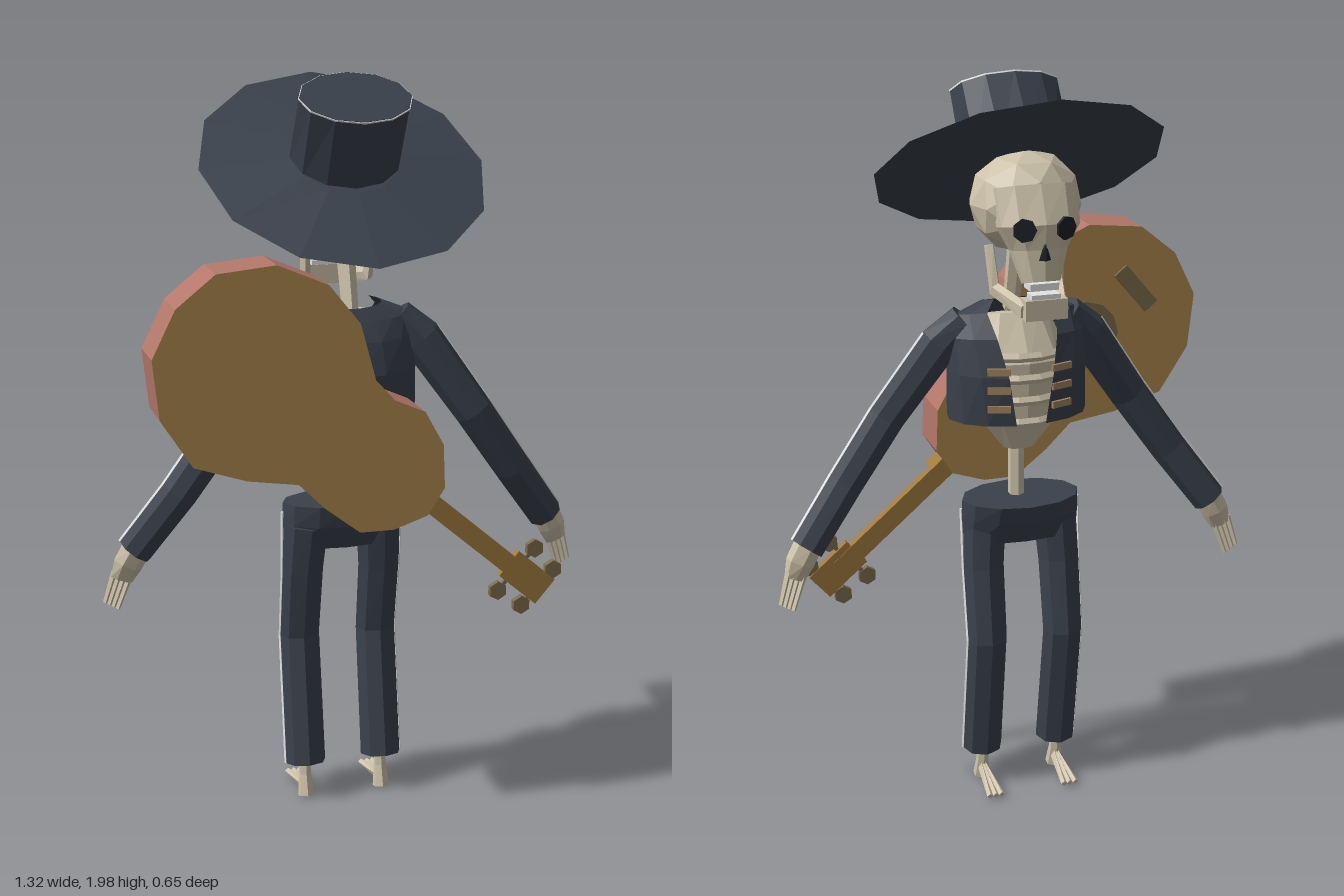
import * as THREE from 'three';

const mat = (name, color, side = THREE.FrontSide) => {
  const m = new THREE.MeshStandardMaterial({ color, side });
  m.name = name;
  return m;
};

// Faceted copy of a geometry
function facet(geo) {
  const g = geo.index ? geo.toNonIndexed() : geo;
  g.computeVertexNormals();
  return g;
}

// Faceted loft along a path. Each station is [x, y, z, radiusA, radiusB, frontGap]
function limb(stations, sides = 8, ref = new THREE.Vector3(0, 0, 1)) {
  const pts = stations.map(s => new THREE.Vector3(s[0], s[1], s[2]));
  const open = stations[0].length > 5;
  const rings = stations.map((s, i) => {
    const t = pts[Math.min(i + 1, pts.length - 1)].clone().sub(pts[Math.max(i - 1, 0)]).normalize();
    const a = t.clone().cross(ref).normalize();
    const b = t.clone().cross(a);
    const gap = s[5] || 0;
    return Array.from({ length: sides + 1 }, (_, j) => {
      const ang = Math.PI / 2 + gap + (j / sides) * (Math.PI * 2 - 2 * gap);
      return pts[i].clone().addScaledVector(a, s[3] * Math.cos(ang)).addScaledVector(b, s[4] * Math.sin(ang));
    });
  });
  const tris = [];
  for (let i = 0; i + 1 < rings.length; i++)
    for (let j = 0; j < sides; j++) {
      const p = rings[i], q = rings[i + 1];
      tris.push(p[j], p[j + 1], q[j + 1], p[j], q[j + 1], q[j]);
    }
  if (!open)
    for (let j = 0; j < sides; j++) {
      const n = rings.length - 1;
      tris.push(pts[0], rings[0][j + 1], rings[0][j], pts[n], rings[n][j], rings[n][j + 1]);
    }
  const g = new THREE.BufferGeometry().setFromPoints(tris);
  g.computeVertexNormals();
  return g;
}

export function createModel() {
  const root = new THREE.Group();
  const navy = mat('navy cloth', 0x3a414c, THREE.DoubleSide);
  const bone = mat('bone', 0xcdc2aa);
  const wood = mat('guitar top wood', 0xb08a50);
  const rim = mat('guitar side wood', 0xb3776a);
  const neckWood = mat('neck wood', 0xa27a3e);
  const dull = mat('dull brown', 0x7d6c4c);
  const white = mat('white trim', 0xe4e4e4);
  const black = mat('black hollow', 0x1b1f25);
  const lace = mat('tan lace', 0xa1835f);

  const X = new THREE.Vector3(1, 0, 0);
  const add = (parent, name, geo, material, x = 0, y = 0, z = 0) => {
    const m = new THREE.Mesh(geo, material);
    m.name = name;
    m.position.set(x, y, z);
    parent.add(m);
    return m;
  };
  const group = name => {
    const g = new THREE.Group();
    g.name = name;
    root.add(g);
    return g;
  };
  const box = (w, h, d) => new THREE.BoxGeometry(w, h, d);

  // Wide-brimmed hat, tipped back
  const hat = group('hat');
  hat.position.set(-0.005, 1.757, 0);
  hat.rotation.x = 0.58;
  const brim = facet(new THREE.CylinderGeometry(0.145, 0.385, 0.03, 12));
  brim.scale(0.975, 1, 1.01);
  add(hat, 'brim', brim, navy);
  add(hat, 'crown', limb([[0, 0, 0, 0.145, 0.13], [0, 0.2, 0, 0.145, 0.1]], 12), navy);
  add(hat, 'crownPiping', limb([[0, 0.195, 0, 0.147, 0.102], [0, 0.199, 0, 0.147, 0.102]], 12), white);

  // Skull
  const head = group('skull');
  const cranium = facet(new THREE.IcosahedronGeometry(1, 1));
  cranium.scale(0.145, 0.132, 0.138);
  add(head, 'cranium', cranium, bone, 0, 1.668, -0.075);
  add(head, 'face', limb([
    [0, 1.72, -0.15, 0.11, 0.05], [0, 1.63, -0.178, 0.108, 0.064],
    [0, 1.57, -0.178, 0.075, 0.055], [0, 1.49, -0.2, 0.05, 0.036]], 10), bone);
  add(head, 'upperTeeth', box(0.075, 0.018, 0.05), white, 0, 1.484, -0.205);
  add(head, 'lowerTeeth', box(0.075, 0.016, 0.04), white, 0, 1.46, -0.222);
  add(head, 'chin', box(0.11, 0.052, 0.046), bone, 0, 1.43, -0.224);
  for (const s of [-1, 1]) {
    add(head, 'jawSide', limb([
      [s * 0.092, 1.56, -0.065, 0.022, 0.012], [s * 0.085, 1.45, -0.09, 0.026, 0.014],
      [s * 0.05, 1.425, -0.225, 0.024, 0.014]], 5, X), bone);
    const eye = add(head, 'eyeSocket', limb([[0, 0, 0, 0.03, 0.03], [0, 0, -0.008, 0.03, 0.03]], 7, X), black,
      s * 0.052, 1.63, -0.23);
    eye.rotation.y = -s * 0.38;
  }
  add(head, 'noseHollow', limb([[0, 0.02, 0, 0.004, 0.006], [0, -0.02, 0, 0.018, 0.008]], 3), black, 0, 1.572, -0.234);
  add(head, 'neckBone', limb([[0, 1.58, -0.02, 0.026, 0.026], [0, 1.36, 0.045, 0.022, 0.022]], 6), bone);

  // Rib cage and spine
  const torso = group('torso');
  add(torso, 'ribCage', limb([
    [0, 1.0, -0.02, 0.045, 0.035], [0, 1.09, -0.02, 0.115, 0.08],
    [0, 1.24, -0.015, 0.14, 0.1], [0, 1.36, 0.01, 0.09, 0.05]], 10), bone);
  for (let i = 0; i < 4; i++) {
    const rib = facet(new THREE.TorusGeometry(1, 0.09, 4, 14));
    rib.rotateX(Math.PI / 2);
    rib.scale(0.13 - i * 0.004, 0.14, 0.1 - i * 0.003);
    add(torso, 'rib', rib, bone, 0, 1.27 - i * 0.06, -0.018);
  }
  add(torso, 'spine', limb([[0, 1.05, 0, 0.022, 0.022], [0, 0.83, 0, 0.022, 0.022]], 6), bone);

  // Short jacket, open at the chest
  add(torso, 'jacket', limb([
    [0, 1.09, -0.005, 0.19, 0.128, 0.21], [0, 1.22, -0.003, 0.19, 0.135, 0.32],
    [0, 1.31, 0, 0.185, 0.108, 0.45], [0, 1.365, 0.01, 0.165, 0.072, 0.6],
    [0, 1.395, 0.018, 0.09, 0.045, 0.8]], 14), navy);
  for (const s of [-1, 1])
    for (const y of [1.14, 1.19, 1.24]) {
      const bar = add(torso, 'jacketLace', box(0.06, 0.018, 0.008), lace, s * 0.085, y, -0.122);
      bar.rotation.y = -s * 0.32;
    }

  // Arms with sleeves, cuffs and bony hands
  for (const s of [-1, 1]) {
    const arm = group(s > 0 ? 'leftArm' : 'rightArm');
    add(arm, 'sleeve', limb([
      [s * 0.14, 1.355, 0.005, 0.04, 0.045], [s * 0.2, 1.29, 0.02, 0.056, 0.052],
      [s * 0.34, 1.09, 0.052, 0.052, 0.05], [s * 0.46, 0.92, 0.04, 0.05, 0.048],
      [s * 0.575, 0.765, 0.008, 0.048, 0.046]], 8), navy);
    add(arm, 'sleeveStripe', limb([
      [s * 0.245, 1.32, 0.02, 0.004, 0.005], [s * 0.383, 1.118, 0.052, 0.004, 0.005],
      [s * 0.501, 0.949, 0.04, 0.004, 0.005], [s * 0.614, 0.794, 0.008, 0.004, 0.005]], 4), white);
    add(arm, 'wrist', limb([
      [s * 0.572, 0.77, 0.008, 0.04, 0.036], [s * 0.595, 0.728, 0.004, 0.04, 0.032],
      [s * 0.612, 0.685, 0, 0.03, 0.014]], 7), bone);
    for (let i = 0; i < 4; i++)
      add(arm, 'finger', limb([
        [s * (0.59 + i * 0.013), 0.69 + i * 0.006, -0.002, 0.009, 0.011],
        [s * (0.622 + i * 0.011), 0.6 + i * 0.007, -0.012, 0.006, 0.008]], 4), bone);
  }

  // Trousers and feet
  const legs = group('legs');
  legs.position.x = -0.009;
  add(legs, 'hips', limb([
    [0, 0.855, -0.01, 0.163, 0.1], [0, 0.8, -0.008, 0.166, 0.088], [0, 0.735, -0.012, 0.158, 0.058]], 12), navy);
  for (const s of [-1, 1]) {
    add(legs, 'trouserLeg', limb([
      [s * 0.1, 0.8, 0, 0.062, 0.065], [s * 0.108, 0.66, -0.018, 0.058, 0.056],
      [s * 0.109, 0.46, -0.053, 0.056, 0.052], [s * 0.109, 0.1, 0.004, 0.057, 0.053]], 8), navy);
    add(legs, 'trouserStripe', limb([
      [s * 0.166, 0.83, -0.005, 0.004, 0.005], [s * 0.165, 0.66, -0.018, 0.004, 0.005],
      [s * 0.164, 0.46, -0.053, 0.004, 0.005], [s * 0.165, 0.1, 0.004, 0.004, 0.005]], 4), white);
    add(legs, 'ankle', limb([
      [s * 0.109, 0.11, -0.005, 0.016, 0.016], [s * 0.109, 0.06, 0, 0.017, 0.017],
      [s * 0.109, 0, 0.012, 0.024, 0.022]], 6), bone);
    for (const k of [-1, 0, 1])
      add(legs, 'footBone', limb([
        [s * 0.109 + k * 0.005, 0.03, 0, 0.02, 0.009],
        [s * 0.109 + k * 0.017, 0.008, -0.13, 0.008, 0.009]], 4, X), bone);
  }

  // Guitar slung across the back
  const guitar = group('guitar');
  const outline = [
    [-0.56, 1.33], [-0.5, 1.45], [-0.4, 1.53], [-0.25, 1.545], [-0.12, 1.49], [-0.04, 1.39], [0, 1.245],
    [0.05, 1.19], [0.13, 1.155], [0.18, 1.065], [0.185, 0.95], [0.14, 0.88], [0.05, 0.85], [-0.04, 0.85],
    [-0.13, 0.92], [-0.2, 0.99], [-0.33, 1.01], [-0.465, 1.055], [-0.545, 1.18]];
  const shape = new THREE.Shape(outline.map(p => new THREE.Vector2(p[0], p[1])));
  add(guitar, 'guitarBody', new THREE.ExtrudeGeometry(shape, { depth: 0.148, bevelEnabled: false }),
    [wood, rim], 0, 0, 0.128);
  const disc = (r, d, n) => facet(new THREE.CylinderGeometry(r, r, d, n).rotateX(Math.PI / 2));
  add(guitar, 'soundHole', disc(0.095, 0.006, 12), dull, -0.24, 1.24, 0.126);
  add(guitar, 'bridge', box(0.045, 0.14, 0.008), dull, -0.385, 1.36, 0.125).rotation.z = -0.71;
  add(guitar, 'guitarNeck', box(0.47, 0.052, 0.026), neckWood, 0.285, 0.79, 0.143).rotation.z = -0.71;
  add(guitar, 'neckHeel', box(0.1, 0.052, 0.06), neckWood, 0.145, 0.91, 0.16).rotation.z = -0.71;
  add(guitar, 'headstock', box(0.14, 0.085, 0.022), neckWood, 0.468, 0.635, 0.143).rotation.z = -0.71;
  for (const [x, y] of [[0.49, 0.715], [0.545, 0.65], [0.386, 0.604], [0.455, 0.556]])
    add(guitar, 'tuningPeg', disc(0.026, 0.016, 6), dull, x, y, 0.143);
  for (const [x, y] of [[0.438, 0.66], [0.5, 0.603]])
    add(guitar, 'pegShaft', box(0.01, 0.13, 0.01), dull, x, y, 0.143).rotation.z = -0.75;

  return root;
}
